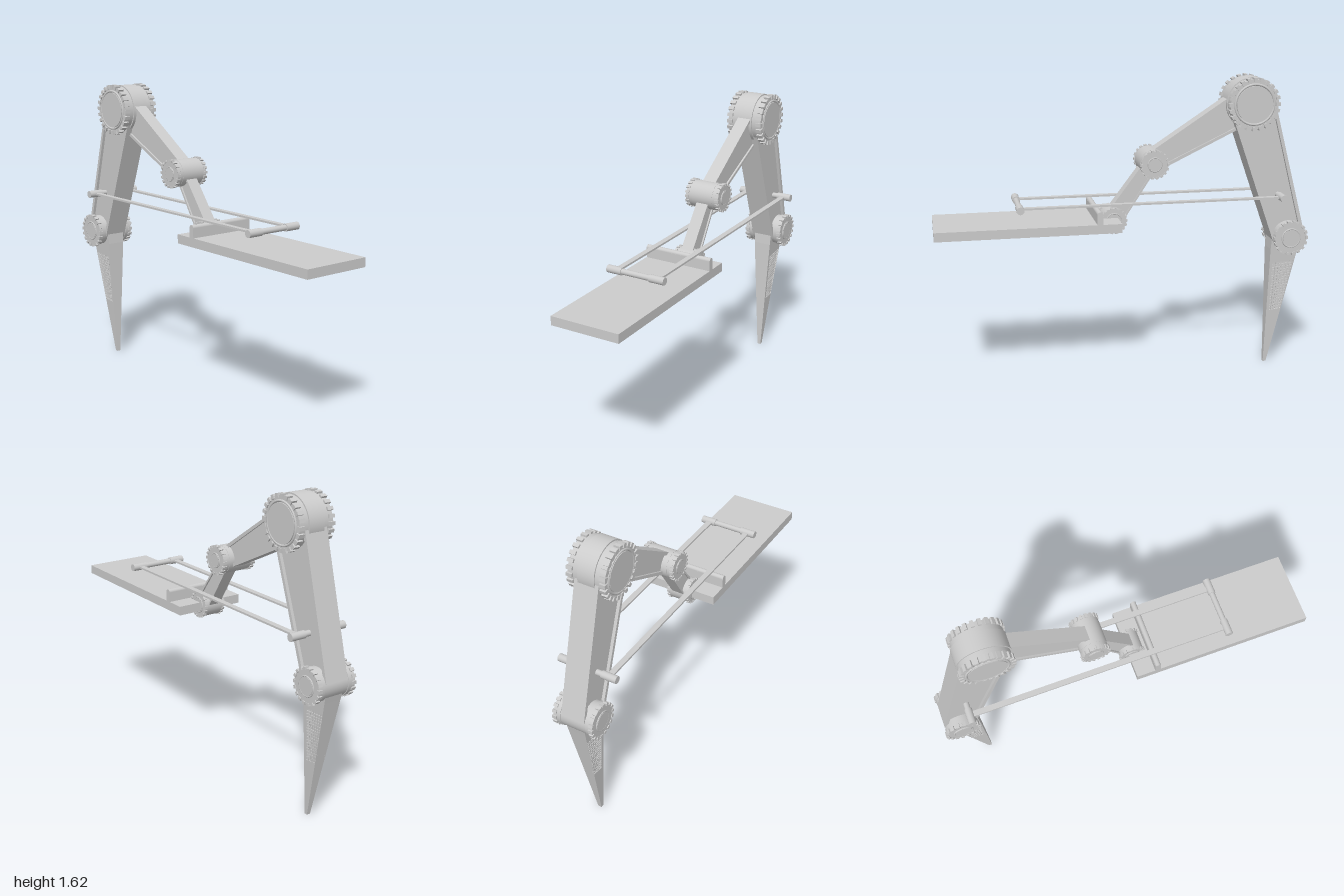
import * as THREE from 'three';

const mat = new THREE.MeshStandardMaterial({ color: 0xcccccc, side: THREE.DoubleSide });

function add(parent, name, geo, x = 0, y = 0, z = 0) {
  const m = new THREE.Mesh(geo, mat);
  m.name = name;
  m.position.set(x, y, z);
  parent.add(m);
  return m;
}

// cylinder whose axis runs along z
const disc = (r, depth, seg = 40) => new THREE.CylinderGeometry(r, r, depth, seg).rotateX(Math.PI / 2);

// closed shape from [x, y] corners, with an optional hole
function plate(points, hole, depth) {
  const toV = a => a.map(p => new THREE.Vector2(p[0], p[1]));
  const s = new THREE.Shape(toV(points));
  if (hole) s.holes.push(new THREE.Path(toV(hole)));
  return new THREE.ExtrudeGeometry(s, { depth, bevelEnabled: false }).translate(0, 0, -depth / 2);
}

// pivot barrel with a toothed wheel and hub cap on each side
function joint(root, name, { x, y, r, barrel, inner, outer, hub, teeth }) {
  const g = new THREE.Group();
  g.name = name;
  g.position.set(x, y, 0);
  add(g, 'barrel', disc(barrel, inner * 2));
  const w = outer - inner, rim = r * 0.93;
  for (const s of [1, -1]) {
    const side = new THREE.Group();
    side.name = 'toothedWheel';
    if (s < 0) side.rotation.y = Math.PI;
    add(side, 'wheel', disc(rim, w * 0.9), 0, 0, inner + w * 0.45);
    add(side, 'hubRing', new THREE.TorusGeometry(hub, r * 0.045, 8, 40), 0, 0, inner + w * 0.9);
    add(side, 'hubCap', disc(hub * 0.93, w * 0.2), 0, 0, inner + w * 0.9);
    for (let i = 0; i < teeth; i++) {
      const a = (i / teeth) * Math.PI * 2, t = r * 0.16;
      const tooth = add(side, 'tooth', new THREE.BoxGeometry(t, Math.PI * r / teeth, w * 0.55),
        Math.cos(a) * (r - t / 2), Math.sin(a) * (r - t / 2), outer - w * 0.275);
      tooth.rotation.z = a;
    }
    g.add(side);
  }
  root.add(g);
}

// tapered beam between two joints, with sunken side panels
function arm(root, name, a, b, h0, h1, halfZ, rim) {
  const dx = b.x - a.x, dy = b.y - a.y, L = Math.hypot(dx, dy);
  const g = new THREE.Group();
  g.name = name;
  g.position.set(a.x, a.y, 0);
  g.rotation.z = Math.atan2(dy, dx);
  const quad = (e, k) => [[e, -h0 + k], [L - e, -h1 + k], [L - e, h1 - k], [e, h0 - k]];
  add(g, 'frame', plate(quad(0, 0), quad(0.03, rim), halfZ * 2));
  add(g, 'sunkenPanel', plate(quad(0.01, rim * 0.5), null, halfZ * 1.5));
  root.add(g);
}

export function createModel() {
  const root = new THREE.Group();
  root.name = 'mechanicalLeg';

  const top = { x: -0.68, y: 1.475, r: 0.14, barrel: 0.137, inner: 0.045, outer: 0.105, hub: 0.105, teeth: 24 };
  const knee = { x: -0.905, y: 0.745, r: 0.095, barrel: 0.085, inner: 0.072, outer: 0.115, hub: 0.05, teeth: 18 };
  const elbow = { x: -0.15, y: 1.175, r: 0.077, barrel: 0.073, inner: 0.06, outer: 0.1, hub: 0.036, teeth: 18 };
  const base = { x: 0.06, y: 0.875, r: 0.071, barrel: 0.066, inner: 0.035, outer: 0.062, hub: 0.04, teeth: 18 };
  joint(root, 'topJoint', top);
  joint(root, 'kneeJoint', knee);
  joint(root, 'elbowJoint', elbow);
  joint(root, 'baseJoint', base);

  arm(root, 'longArm', top, knee, 0.122, 0.09, 0.065, 0.018);
  arm(root, 'upperArm', top, elbow, 0.095, 0.055, 0.038, 0.016);
  arm(root, 'shortArm', elbow, base, 0.037, 0.05, 0.034, 0.01);

  // pointed foot, thinning in z toward the tip
  const half = y => 0.01 + 0.06 * y;
  const taper = (geo, k) => {
    const p = geo.attributes.position;
    for (let i = 0; i < p.count; i++) p.setZ(i, p.getZ(i) * 2 * k * half(p.getY(i)));
    geo.computeVertexNormals();
    return geo;
  };
  const outline = [[-0.82, 0], [-0.803, 0], [-0.812, 0.67], [-0.818, 0.76], [-0.9, 0.8], [-0.985, 0.745], [-0.965, 0.66]];
  const win = [[-0.95, 0.6], [-0.827, 0.59], [-0.822, 0.31], [-0.89, 0.32]];
  const foot = new THREE.Group();
  foot.name = 'foot';
  add(foot, 'spike', taper(plate(outline, win, 1), 1));
  add(foot, 'windowBack', taper(plate(win, null, 1), 0.6));

  // grating in the foot windows
  const [tl, tr, br, bl] = win.map(p => new THREE.Vector2(p[0], p[1]));
  const bar = (p, q, s) => {
    const a = new THREE.Vector3(p.x, p.y, s * half(p.y) * 0.85);
    const b = new THREE.Vector3(q.x, q.y, s * half(q.y) * 0.85);
    const m = add(foot, 'gratingBar', new THREE.BoxGeometry(0.005, 0.005, a.distanceTo(b)));
    m.position.copy(a).lerp(b, 0.5);
    m.lookAt(b);
  };
  const mix = (a, b, t) => a.clone().lerp(b, t);
  for (const s of [1, -1]) {
    for (let i = 1; i < 18; i++) bar(mix(tl, bl, i / 18), mix(tr, br, i / 18), s);
    for (let i = 1; i < 7; i++) bar(mix(tl, tr, i / 7), mix(bl, br, i / 7), s);
  }
  root.add(foot);

  // mounting board with a round-topped ridge
  add(root, 'board', new THREE.BoxGeometry(0.96, 0.048, 0.38), 0.52, 0.868, 0);
  add(root, 'ridge', new THREE.BoxGeometry(0.03, 0.055, 0.38), 0.155, 0.917, 0);
  add(root, 'ridgeTop', disc(0.015, 0.38, 24), 0.155, 0.944, 0);

  // twin push rods and their cross pins
  for (const x of [-0.84, 0.56]) {
    add(root, 'crossPin', disc(0.015, 0.3, 24), x, 0.977, 0);
    for (const s of [1, -1]) add(root, 'pinSleeve', disc(0.02, 0.083, 24), x, 0.977, s * 0.122);
  }
  for (const s of [1, -1])
    add(root, 'pushRod', new THREE.BoxGeometry(1.4, 0.01, 0.03), -0.14, 0.977, s * 0.115);

  return root;
}
